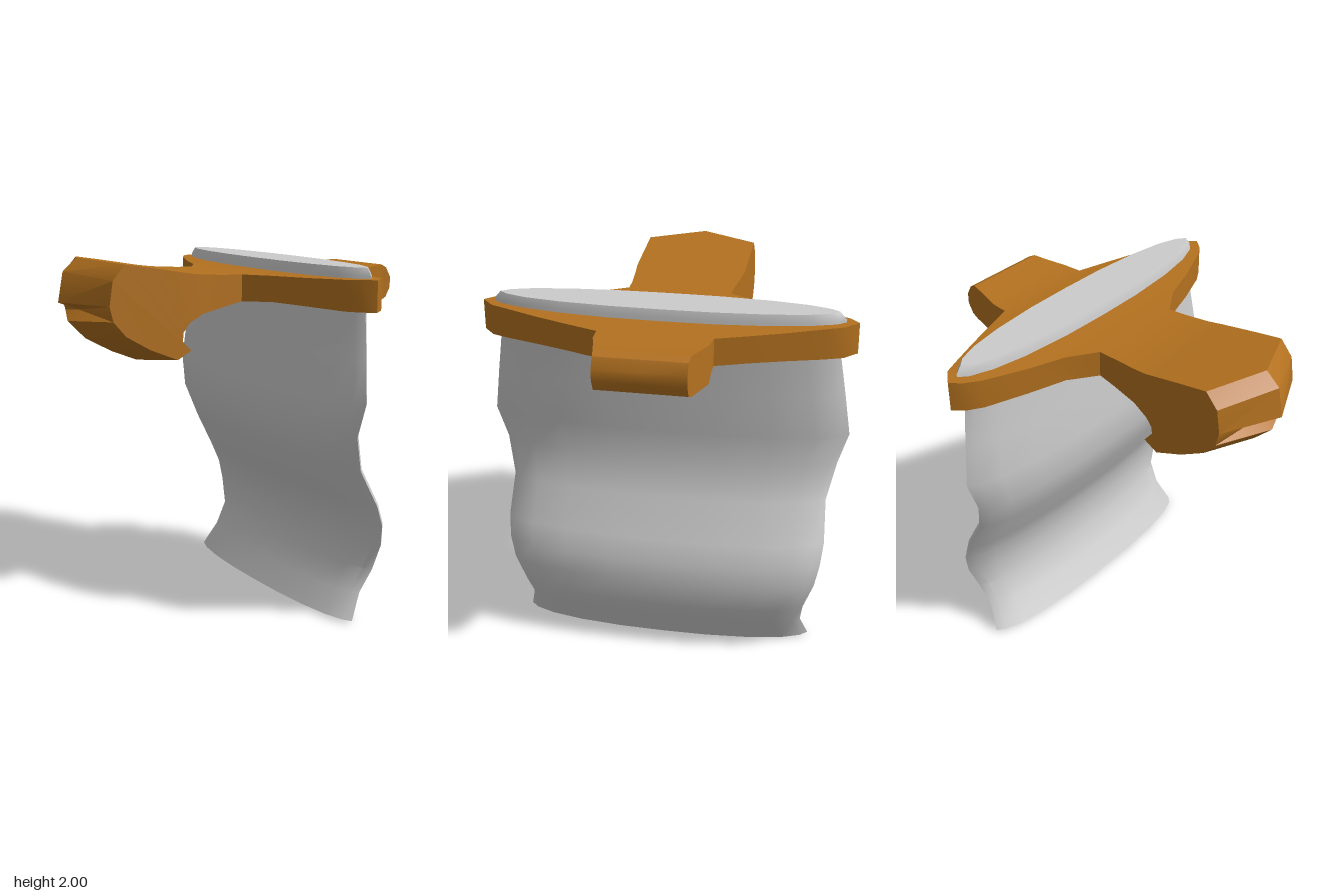
import * as THREE from 'three';
import { toCreasedNormals } from 'three/addons/utils/BufferGeometryUtils.js';

// Skin a list of equal-length rings (counter-clockwise about the loft direction) and cap both ends
function loft(rings, crease) {
  const pos = [];
  const tri = (a, b, c) => {
    const area = b.clone().sub(a).cross(c.clone().sub(a)).length();
    if (area > 1e-7) for (const p of [a, b, c]) pos.push(p.x, p.y, p.z);
  };
  const n = rings[0].length;
  for (let i = 0; i < rings.length - 1; i++) {
    for (let j = 0; j < n; j++) {
      const k = (j + 1) % n, r = rings[i], s = rings[i + 1];
      tri(r[j], r[k], s[k]);
      tri(r[j], s[k], s[j]);
    }
  }
  const cap = (ring, flip) => {
    const c = new THREE.Vector3();
    ring.forEach((p) => c.addScaledVector(p, 1 / n));
    ring.forEach((p, j) => {
      const q = ring[(j + 1) % n];
      if (flip) tri(c, q, p); else tri(c, p, q);
    });
  };
  cap(rings[0], true);
  cap(rings[rings.length - 1], false);
  const g = new THREE.BufferGeometry();
  g.setAttribute('position', new THREE.Float32BufferAttribute(pos, 3));
  return toCreasedNormals(g, crease);
}

const v = (x, y, z) => new THREE.Vector3(x, y, z);

// Guard section: half width, top and bottom points, and optional ridge points at z = 0
function guardRing([w, xt, yt, xb, yb, rxt = xt, ryt = yt, rxb = xb, ryb = yb]) {
  return [
    v(xt, yt, -w), v(rxt, ryt, 0), v(xt, yt, w),
    v(xb, yb, w), v(rxb, ryb, 0), v(xb, yb, -w),
  ];
}

// Blade section: a rounded lens between x0 and x1, reaching z = +-d
const LENS = [[0, 1], [0.3, 0.97], [0.6, 0.82], [0.82, 0.58], [0.95, 0.28], [1, 0]];
function bladeRing([y, x0, x1, d], tilt = 0) {
  const quarter = LENS.map(([t, h]) => [h, t]);
  const back = quarter.slice(0, -1);
  const outline = [
    ...back.map(([h, t]) => [h, -t]),
    ...quarter.slice(1).reverse().map(([h, t]) => [-h, -t]),
    ...back.map(([h, t]) => [-h, t]),
    ...quarter.slice(1).reverse().map(([h, t]) => [h, t]),
  ];
  const c = (x0 + x1) / 2, r = (x1 - x0) / 2;
  return outline.map(([h, t]) => v(c + h * r, y + tilt * (1 - h) / 2, t * d));
}

export function createModel() {
  const group = new THREE.Group();
  const grey = new THREE.MeshStandardMaterial({ color: 0xcccccc });
  const bronze = new THREE.MeshStandardMaterial({ color: 0xb3711f });

  // Hooked head of the guard, with a ridged end
  const head = [
    [0.315, -0.85, 1.77, -0.83, 1.69, -1, 1.77, -0.95, 1.67],
    [0.315, -0.83, 1.9, -0.76, 1.61, -0.97, 1.93, -0.85, 1.57],
    [0.315, -0.83, 1.9, -0.62, 1.53, -0.97, 1.93, -0.7, 1.49],
    [0.315, -0.83, 1.9, -0.46, 1.465, -0.97, 1.93, -0.55, 1.43],
    [0.315, -0.83, 1.9, -0.38, 1.51, -0.97, 1.93, -0.38, 1.51],
    [0.315, -0.76, 1.98, -0.43, 1.56, -0.89, 2.0, -0.43, 1.56],
    [0.315, -0.6, 1.955, -0.425, 1.61],
    [0.315, -0.38, 1.917, -0.39, 1.655],
  ];
  // Neck and pointed collar around the blade
  const collar = [
    [0.305, -0.3, 1.907, -0.3, 1.7],
    [0.29, -0.15, 1.898, -0.15, 1.73],
    [0.285, -0.05, 1.895, -0.05, 1.75],
    [0.44, 0.05, 1.895, 0.05, 1.755],
    [0.65, 0.12, 1.898, 0.12, 1.75],
    [0.87, 0.21, 1.902, 0.21, 1.74],
    [0.95, 0.26, 1.905, 0.26, 1.74],
    [1.0, 0.32, 1.905, 0.32, 1.74],
    [0.93, 0.4, 1.905, 0.4, 1.74],
    [0.83, 0.44, 1.902, 0.44, 1.74],
    [0.65, 0.51, 1.895, 0.51, 1.745],
    [0.48, 0.57, 1.89, 0.57, 1.745],
    [0.3, 0.63, 1.885, 0.63, 1.74],
  ];
  // Short arm with a rounded end
  const arm = [
    [0.297, 0.68, 1.885, 0.68, 1.73],
    [0.292, 0.73, 1.887, 0.73, 1.682],
    [0.26, 0.85, 1.897, 0.85, 1.688],
    [0.24, 0.93, 1.905, 0.93, 1.695],
    [0.235, 0.97, 1.885, 0.97, 1.712],
    [0.235, 1.0, 1.83, 1.0, 1.77],
  ];
  const guard = new THREE.Mesh(loft([...head, ...collar, ...arm].map(guardRing), 0.5), bronze);
  guard.name = 'guard';
  group.add(guard);

  // Wavy blade: y, left x, right x, half depth
  const blade = [
    [0.0, 0.215, 0.47, 0.825],
    [0.15, 0.295, 0.545, 0.783],
    [0.28, 0.365, 0.618, 0.8],
    [0.43, 0.372, 0.635, 0.855],
    [0.55, 0.358, 0.622, 0.88],
    [0.67, 0.305, 0.58, 0.893],
    [0.88, 0.195, 0.47, 0.883],
    [1.08, 0.122, 0.415, 0.93],
    [1.26, 0.13, 0.428, 0.985],
    [1.5, 0.15, 0.442, 0.95],
    [1.72, 0.17, 0.455, 0.915],
    [1.92, 0.18, 0.47, 0.935],
    [1.96, 0.195, 0.46, 0.9],
  ];
  const bladeMesh = new THREE.Mesh(loft(blade.map((b, i) => bladeRing(b, i ? 0 : 0.02)), 0.7), grey);
  bladeMesh.name = 'blade';
  group.add(bladeMesh);

  return group;
}
